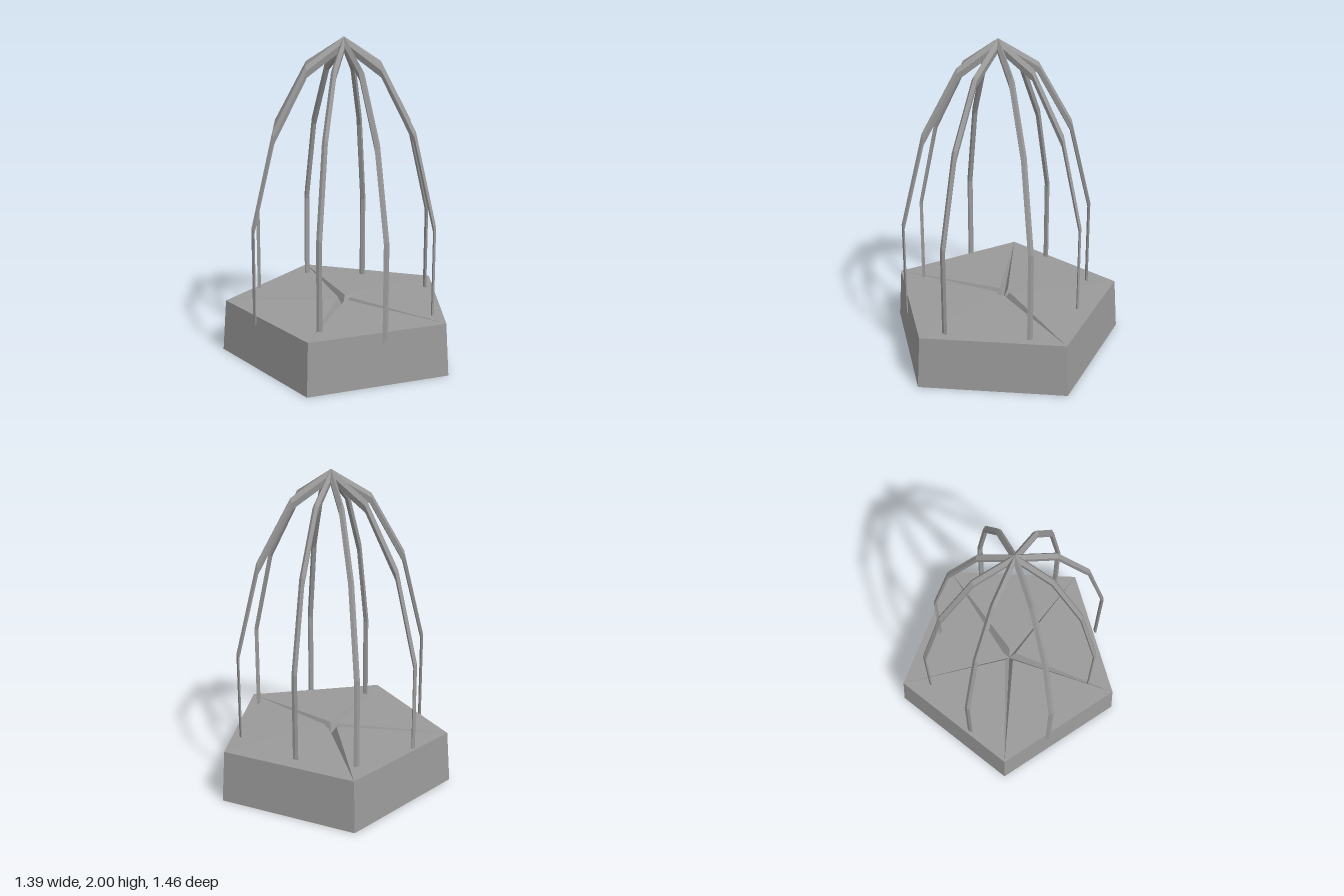
import * as THREE from 'three';

const material = new THREE.MeshStandardMaterial({ color: 0x9a9a9a, flatShading: true, side: THREE.DoubleSide });

function meshFromTriangles(name, triangles) {
  const geometry = new THREE.BufferGeometry().setFromPoints(triangles.flat());
  geometry.computeVertexNormals();
  const mesh = new THREE.Mesh(geometry, material);
  mesh.name = name;
  return mesh;
}

// Five points of a horizontal regular pentagon, counter-clockwise seen from above
function pentagon(radius, y, turn = 0) {
  return Array.from({ length: 5 }, (_, k) => {
    const a = Math.PI + turn + (k * 2 * Math.PI) / 5;
    return new THREE.Vector3(0.07 + radius * Math.cos(a), y, -radius * Math.sin(a));
  });
}

// Hollow tapered pentagonal base, open underneath
function createBase() {
  const base = new THREE.Group();
  base.name = 'base';
  const bottom = pentagon(0.768, 0);
  const top = pentagon(0.744, 0.33);
  const inner = pentagon(0.045, 0.343, Math.PI / 5);
  const hub = new THREE.Vector3(0.07, 0.28, 0);
  const walls = [], panels = [], grooves = [];
  for (let k = 0; k < 5; k++) {
    const n = (k + 1) % 5, p = (k + 4) % 5;
    walls.push([bottom[k], bottom[n], top[n]], [bottom[k], top[n], top[k]]);
    // Top panels, with V-shaped grooves running from the corners to the hub
    panels.push([top[k], top[n], inner[k]]);
    grooves.push([top[k], inner[k], hub], [top[k], hub, inner[p]]);
  }
  base.add(
    meshFromTriangles('baseWalls', walls),
    meshFromTriangles('topPanels', panels),
    meshFromTriangles('starGrooves', grooves)
  );
  return base;
}

// Outer and inner line of a bar: [outer r, outer y, inner r, inner y]
const profile = [
  [0, 2, 0, 1.93],
  [0.25, 1.84, 0.245, 1.77],
  [0.465, 1.46, 0.457, 1.39],
  [0.605, 0.89, 0.59, 0.86],
  [0.605, 0.28, 0.59, 0.28]
];
// Five-sided bar section: [share of the way inward, sideways offset]
const section = [[0, 0], [0.4, 0.018], [1, 0.011], [1, -0.011], [0.4, -0.018]];

// Bent bar from the apex down into the base
function createBar(dx, dz) {
  const reach = Math.hypot(dx, dz);
  const scale = reach / 0.595;
  const ux = dx / reach, uz = dz / reach;
  const rings = profile.map(([ro, yo, ri, yi]) => section.map(([t, w]) => {
    const r = scale * (ro + (ri - ro) * t);
    return new THREE.Vector3(0.07 + ux * r - uz * w, yo + (yi - yo) * t, 0.03 + uz * r + ux * w);
  }));
  const triangles = [];
  for (let i = 0; i < rings.length - 1; i++) {
    const a = rings[i], b = rings[i + 1];
    for (let k = 0; k < 5; k++) {
      const n = (k + 1) % 5;
      triangles.push([a[k], b[n], b[k]], [a[k], a[n], b[n]]);
    }
  }
  // Foot cap
  const foot = rings[rings.length - 1];
  for (let k = 1; k < 4; k++) triangles.push([foot[0], foot[k], foot[k + 1]]);
  return meshFromTriangles('cageBar', triangles);
}

export function createModel() {
  const model = new THREE.Group();
  model.name = 'domedCage';
  const cage = new THREE.Group();
  cage.name = 'cage';
  // Reach of each bar from the apex, as x and z
  const reaches = [
    [0.546, -0.245], [0.535, 0.263], [0.222, 0.554], [-0.16, 0.512],
    [-0.55, 0.25], [-0.54, -0.265], [-0.222, -0.552], [0.15, -0.51]
  ];
  for (const [dx, dz] of reaches) cage.add(createBar(dx, dz));
  model.add(createBase(), cage);
  return model;
}
